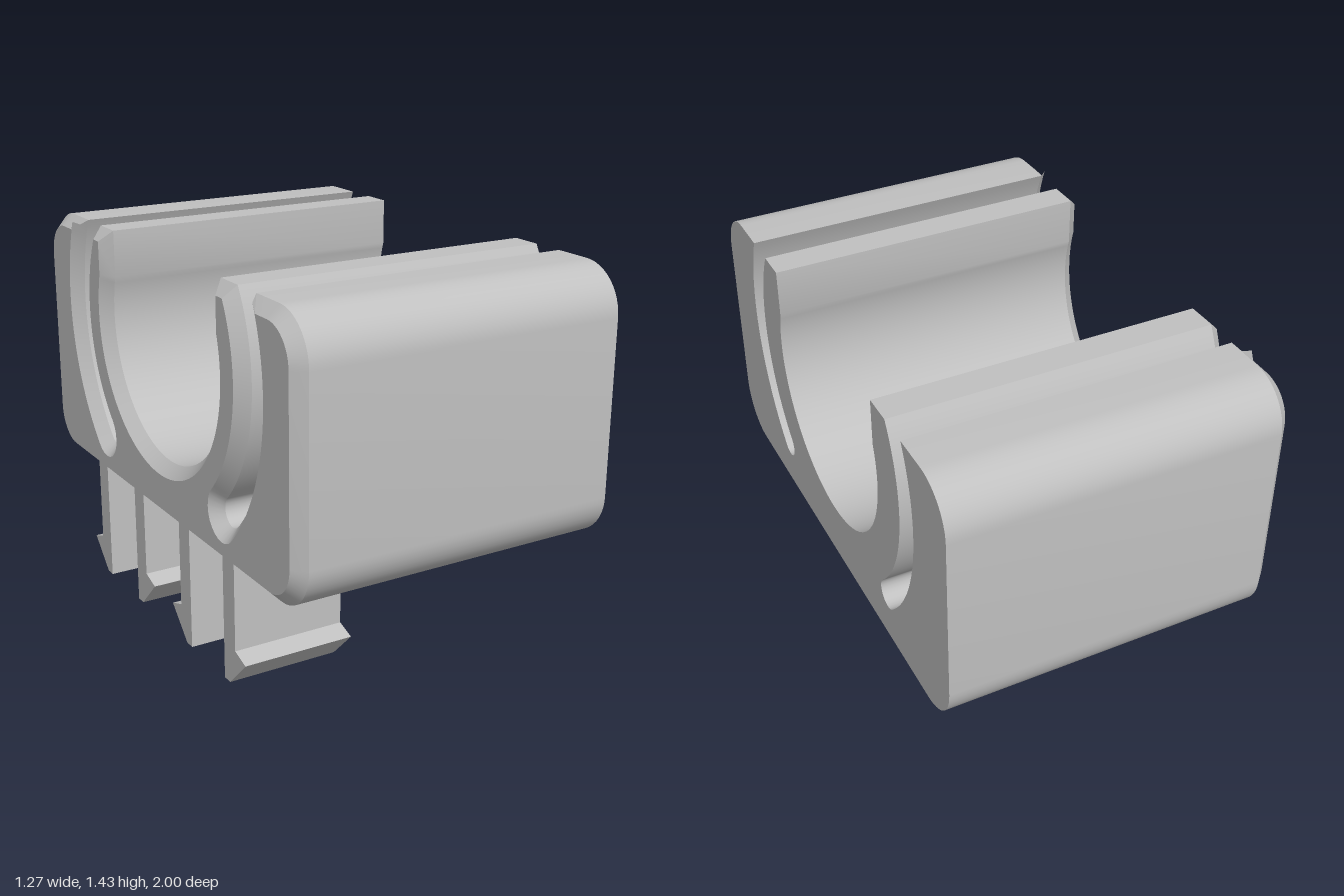
import * as THREE from 'three';
import { toCreasedNormals } from 'three/addons/utils/BufferGeometryUtils.js';

const X0 = -0.633, X1 = 0.633, CHAMFER = 0.045;
const BOTTOM = 0.425, TOP = 1.43, AXIS = 1.11; // AXIS: height of the bore centre

// Points along an arc; a1 < a0 runs clockwise
function arc(cx, cy, r, a0, a1, n) {
  return Array.from({ length: n + 1 }, (_, i) => {
    const a = a0 + (a1 - a0) * i / n;
    return new THREE.Vector2(cx + r * Math.cos(a), cy + r * Math.sin(a));
  });
}

// Counter-clockwise section: rounded block with a bore and two curved slots
function clampOutline() {
  const PI = Math.PI, R = 0.175;
  const bore = 0.46, slotIn = 0.64, slotOut = 0.75;
  const mid = (slotIn + slotOut) / 2, c = mid * Math.SQRT1_2;
  const rise = TOP - AXIS, lip = 0.438;
  const half = [
    new THREE.Vector2(0, BOTTOM),
    ...arc(1 - R, BOTTOM + R, R, -PI / 2, 0, 12),
    ...arc(1 - R, TOP - R, R, 0, PI / 2, 12),
    ...arc(0, AXIS, slotOut, Math.asin(rise / slotOut), -PI / 4, 28),
    ...arc(c, AXIS - c, (slotOut - slotIn) / 2, -PI / 4, -PI * 5 / 4, 12).slice(1, -1),
    ...arc(0, AXIS, slotIn, -PI / 4, Math.asin(rise / slotIn), 28),
    new THREE.Vector2(lip, TOP),
    ...arc(0, AXIS, bore, Math.acos(lip / bore), -PI / 2, 36),
  ];
  const mirrored = half.slice(1, -1).reverse().map(p => new THREE.Vector2(-p.x, p.y));
  return [...half, ...mirrored];
}

// Move an outline inwards by d with mitred corners
function inset(pts, d) {
  const n = pts.length;
  const normal = (a, b) => new THREE.Vector2(a.y - b.y, b.x - a.x).normalize();
  return pts.map((p, i) => {
    const n1 = normal(pts[(i + n - 1) % n], p), n2 = normal(p, pts[(i + 1) % n]);
    return p.clone().addScaledVector(n1.clone().add(n2), d / (1 + n1.dot(n2)));
  });
}

// Loft the section along x, with a chamfer at the -x end only
function clampGeometry() {
  const full = clampOutline(), small = inset(full, CHAMFER), n = full.length;
  const rings = [[small, X0], [full, X0 + CHAMFER], [full, X1]];
  const pos = [];
  const put = (r, i) => {
    const [pts, x] = rings[r], p = pts[i % n];
    pos.push(x, p.y, -p.x);
  };
  for (let r = 0; r < 2; r++) {
    for (let i = 0; i < n; i++) {
      put(r, i); put(r, i + 1); put(r + 1, i + 1);
      put(r, i); put(r + 1, i + 1); put(r + 1, i);
    }
  }
  // End caps
  for (const [a, b, c] of THREE.ShapeUtils.triangulateShape(full, [])) {
    put(2, a); put(2, b); put(2, c);
  }
  for (const [a, b, c] of THREE.ShapeUtils.triangulateShape(small, [])) {
    put(0, a); put(0, c); put(0, b);
  }
  // Side quads wind outwards for a counter-clockwise section
  for (let k = 0; k < 2 * n * 6; k += 3) {
    const b = (k + 1) * 3, c = (k + 2) * 3;
    for (let j = 0; j < 3; j++) [pos[b + j], pos[c + j]] = [pos[c + j], pos[b + j]];
  }
  const g = new THREE.BufferGeometry();
  g.setAttribute('position', new THREE.Float32BufferAttribute(pos, 3));
  // Orient the sides by testing the bottom face once
  const a = new THREE.Vector3(...pos.slice(0, 3)), b = new THREE.Vector3(...pos.slice(3, 6));
  const c = new THREE.Vector3(...pos.slice(6, 9));
  if (b.sub(a).cross(c.sub(a)).y > 0) {
    const p = g.attributes.position.array;
    for (let k = 0; k < 2 * n * 6; k += 3) {
      for (let j = 0; j < 3; j++) {
        const t = p[(k + 1) * 3 + j];
        p[(k + 1) * 3 + j] = p[(k + 2) * 3 + j];
        p[(k + 2) * 3 + j] = t;
      }
    }
  }
  return toCreasedNormals(g, 0.5);
}

// Barbed snap leg; place maps its section to a z position
function legGeometry(place) {
  const top = BOTTOM + CHAMFER;
  const section = [[0.495, 0], [0.535, 0], [0.65, 0.115], [0.577, 0.14], [0.577, top], [0.495, top]];
  const shape = new THREE.Shape(section.map(([z, y]) => new THREE.Vector2(-place(z), y)));
  const g = new THREE.ExtrudeGeometry(shape, { depth: 0.428, bevelEnabled: false });
  g.rotateY(Math.PI / 2);
  g.translate(X0, 0, 0);
  return g;
}

export function createModel() {
  const group = new THREE.Group();
  group.name = 'pipeClip';
  const grey = new THREE.MeshStandardMaterial({ color: 0xc0c0c0 });
  grey.name = 'grey plastic';

  const add = (name, geometry) => {
    const mesh = new THREE.Mesh(geometry, grey);
    mesh.name = name;
    group.add(mesh);
  };

  add('clampBody', clampGeometry());
  // Two pairs of legs, mirrored front to back
  for (const [side, s] of [['front', 1], ['back', -1]]) {
    add(side + 'OuterLeg', legGeometry(z => s * z));
    add(side + 'InnerLeg', legGeometry(z => s * (0.73 - z)));
  }
  return group;
}
